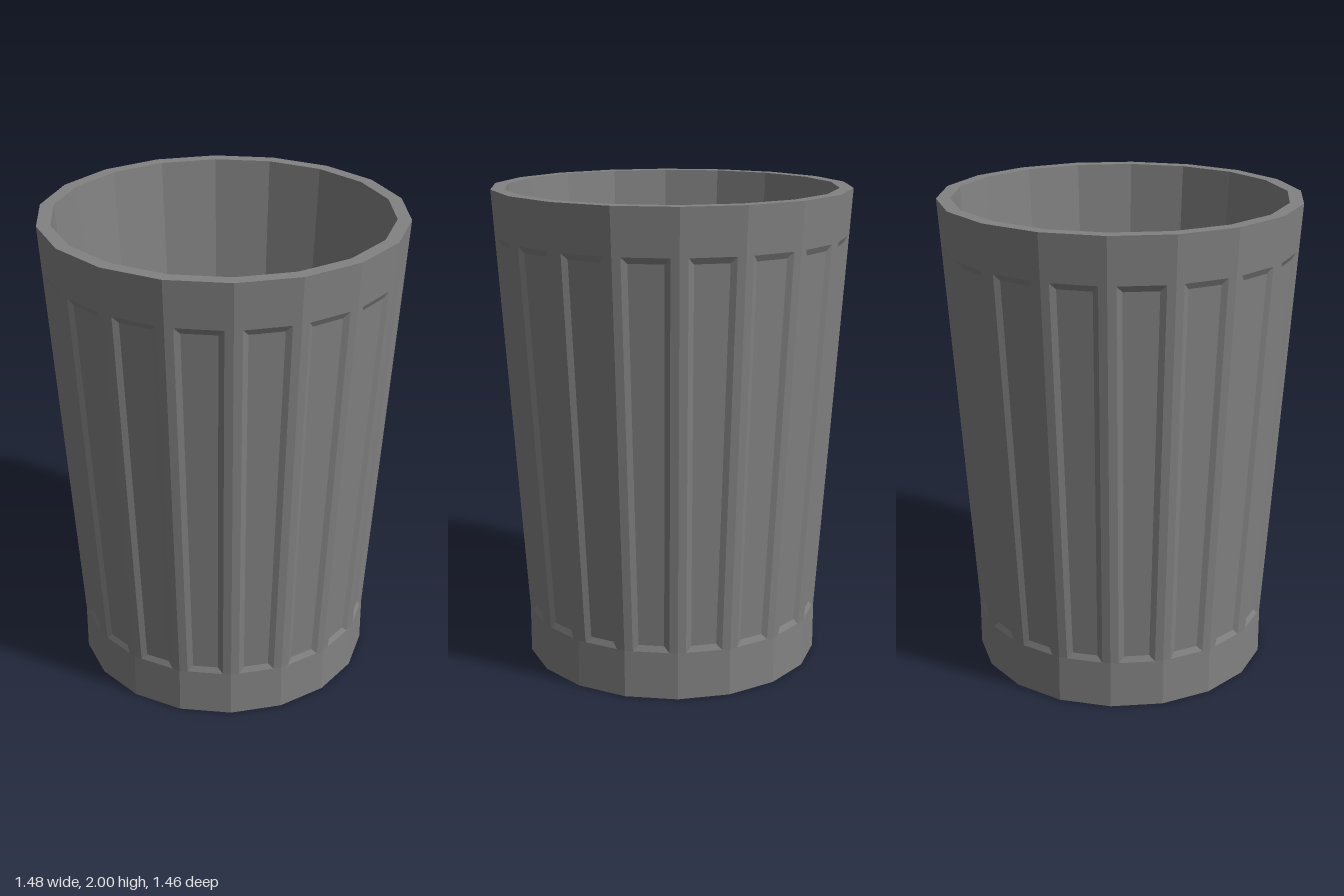
import * as THREE from 'three';

const SIDES = 18;
const STEP = (Math.PI * 2) / SIDES;
const BASE_R = 0.625, TOP_R = 0.742;      // outer radii at the corners
const PANEL_Y0 = 0.2, PANEL_Y1 = 1.81;    // vertical span of the recessed panels
const INSET = 0.034, BEVEL = 0.023, DEPTH = 0.011, RISE = 0.025; // shallow panel bevels

const material = new THREE.MeshStandardMaterial({ color: 0x828282, flatShading: true });

// Straight foot, then a steady flare to the rim
const outerRadius = (y) =>
  y <= PANEL_Y0 ? BASE_R : BASE_R + ((TOP_R - BASE_R) * (y - PANEL_Y0)) / (2 - PANEL_Y0);

// Point on side i: dir -1/+1 picks its edge, inset moves in from that edge, depth sinks it
function sidePoint(i, dir, y, inset, depth) {
  const r = outerRadius(y);
  const along = dir * (r * Math.sin(STEP / 2) - inset);
  const out = r * Math.cos(STEP / 2) - depth;
  const a = (i + 0.5) * STEP;
  return new THREE.Vector3(
    out * Math.sin(a) + along * Math.cos(a), y,
    out * Math.cos(a) - along * Math.sin(a));
}

// Rectangle on a side, corners counter-clockwise from outside
const sideRect = (i, y0, y1, inset, depth) => [
  sidePoint(i, -1, y0, inset, depth), sidePoint(i, 1, y0, inset, depth),
  sidePoint(i, 1, y1, inset, depth), sidePoint(i, -1, y1, inset, depth)];

function meshFromQuads(name, quads) {
  const points = quads.flatMap(([a, b, c, d]) => [a, b, c, a, c, d]);
  const geometry = new THREE.BufferGeometry().setFromPoints(points);
  geometry.computeVertexNormals();
  const mesh = new THREE.Mesh(geometry, material);
  mesh.name = name;
  return mesh;
}

// Quads joining two nested rectangles
const frame = (outer, inner) => outer.map((p, k) => {
  const n = (k + 1) % 4;
  return [p, outer[n], inner[n], inner[k]];
});

function disc(name, radius, y, up) {
  const geometry = new THREE.CircleGeometry(radius, SIDES);
  geometry.rotateX(up ? -Math.PI / 2 : Math.PI / 2);
  geometry.translate(0, y, 0);
  const mesh = new THREE.Mesh(geometry, material);
  mesh.name = name;
  return mesh;
}

export function createModel() {
  const cup = new THREE.Group();
  cup.name = 'cup';

  const foot = [], ribs = [], bevels = [], panels = [], band = [];
  for (let k = 0; k < SIDES; k++) {
    const i = k + SIDES / 4; // corners fall on the x axis
    foot.push(sideRect(i, 0, PANEL_Y0, 0, 0));
    band.push(sideRect(i, PANEL_Y1, 2, 0, 0));

    const edge = sideRect(i, PANEL_Y0, PANEL_Y1, 0, 0);
    const opening = sideRect(i, PANEL_Y0, PANEL_Y1, INSET, 0);
    const floor = sideRect(i, PANEL_Y0 + RISE, PANEL_Y1 - RISE, INSET + BEVEL, DEPTH);
    // Top and bottom of the opening meet the foot and band, so only the ribs have area
    const rim = frame(edge, opening);
    ribs.push(rim[1], rim[3]);
    bevels.push(...frame(opening, floor));
    panels.push(floor);
  }
  cup.add(
    meshFromQuads('foot', foot),
    meshFromQuads('ribs', ribs),
    meshFromQuads('panelBevels', bevels),
    meshFromQuads('recessedPanels', panels),
    meshFromQuads('upperBand', band));

  // Flat rim and inner wall, running from the outer lip down to the inside floor
  const innerProfile = [[TOP_R, 2], [0.686, 2], [0.546, 0.1]].map(([r, y]) => new THREE.Vector2(r, y));
  ['rim', 'innerWall'].forEach((name, s) => {
    const geometry = new THREE.LatheGeometry([innerProfile[s], innerProfile[s + 1]], SIDES, Math.PI / 2);
    const mesh = new THREE.Mesh(geometry, material);
    mesh.name = name;
    cup.add(mesh);
  });

  cup.add(disc('insideFloor', 0.546, 0.1, true), disc('base', BASE_R, 0, false));
  return cup;
}
